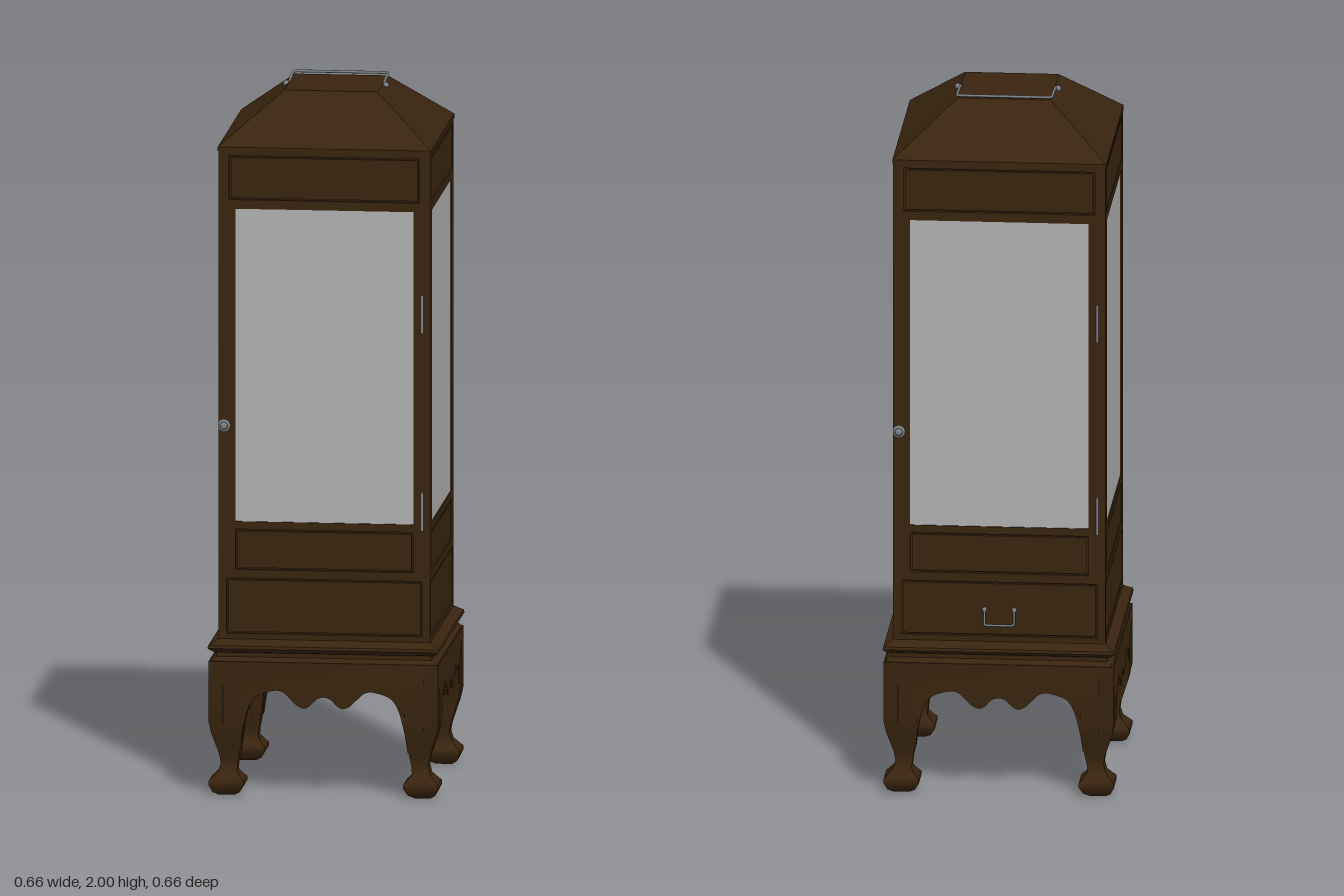
import * as THREE from 'three';
import { toCreasedNormals } from 'three/addons/utils/BufferGeometryUtils.js';

const wood = new THREE.MeshStandardMaterial({ color: 0x39240f });
wood.name = 'dark wood';
const glass = new THREE.MeshStandardMaterial({ color: 0xb0b0b0 });
glass.name = 'pale glass';
const metal = new THREE.MeshStandardMaterial({ color: 0x7c8286 });
metal.name = 'grey metal';

function add(parent, name, geometry, material, x = 0, y = 0, z = 0) {
  const mesh = new THREE.Mesh(geometry, material);
  mesh.name = name;
  mesh.position.set(x, y, z);
  parent.add(mesh);
  return mesh;
}

// Four-sided turned block; profile holds [half width, y] from bottom to top
function squareLathe(profile) {
  const pts = profile.map(([h, y]) => new THREE.Vector2(h * Math.SQRT2, y));
  const g = new THREE.LatheGeometry(pts, 4, Math.PI / 4).toNonIndexed();
  g.computeVertexNormals();
  return g;
}

// Wire bent along straight runs with rounded corners
function bentWire(points, radius, bend) {
  const p = points.map((a) => new THREE.Vector3(...a));
  const path = new THREE.CurvePath();
  let from = p[0];
  for (let i = 1; i < p.length - 1; i++) {
    const a = p[i].clone().add(p[i - 1].clone().sub(p[i]).setLength(bend));
    const b = p[i].clone().add(p[i + 1].clone().sub(p[i]).setLength(bend));
    path.add(new THREE.LineCurve3(from, a));
    path.add(new THREE.QuadraticBezierCurve3(a, p[i], b));
    from = b;
  }
  path.add(new THREE.LineCurve3(from, p[p.length - 1]));
  return new THREE.TubeGeometry(path, 64, radius, 8);
}

// Cabriole leg: square sections [y, inner edge, outer edge] set on the diagonal
function legGeometry() {
  const sections = [
    [0, 0.255, 0.3], [0.01, 0.238, 0.315], [0.03, 0.226, 0.325], [0.042, 0.226, 0.325],
    [0.052, 0.236, 0.315], [0.068, 0.248, 0.3], [0.09, 0.246, 0.294], [0.115, 0.241, 0.298],
    [0.15, 0.236, 0.309], [0.18, 0.232, 0.319], [0.21, 0.23, 0.324], [0.385, 0.23, 0.324],
  ];
  const pos = [];
  const idx = [];
  sections.forEach(([y, a, b], i) => {
    pos.push(a, y, a, a, y, b, b, y, b, b, y, a);
    if (i === 0) return;
    for (let k = 0; k < 4; k++) {
      const p = (i - 1) * 4 + k;
      const q = (i - 1) * 4 + ((k + 1) % 4);
      idx.push(p, q, q + 4, p, q + 4, p + 4);
    }
  });
  idx.push(0, 2, 1, 0, 3, 2);
  const g = new THREE.BufferGeometry();
  g.setAttribute('position', new THREE.Float32BufferAttribute(pos, 3));
  g.setIndex(idx);
  return toCreasedNormals(g, 0.9);
}

// Apron with a scalloped lower edge
function apronGeometry() {
  const half = [
    [0.236, 0.13], [0.23, 0.18], [0.221, 0.225], [0.207, 0.265], [0.185, 0.29], [0.14, 0.304],
    [0.115, 0.3], [0.095, 0.282], [0.075, 0.263], [0.055, 0.255], [0.038, 0.263], [0.02, 0.281],
  ];
  const curve = [...half, [0, 0.287], ...half.slice().reverse().map(([x, y]) => [-x, y])];
  const s = new THREE.Shape();
  s.moveTo(-0.325, 0.385);
  s.lineTo(-0.325, 0.21);
  s.quadraticCurveTo(-0.32, 0.18, -0.3, 0.13);
  s.lineTo(-0.236, 0.13);
  s.splineThru(curve.slice(0, -1).reverse().map(([x, y]) => new THREE.Vector2(x, y)));
  s.lineTo(0.3, 0.13);
  s.quadraticCurveTo(0.32, 0.18, 0.325, 0.21);
  s.lineTo(0.325, 0.385);
  // Above the knee the board is flush; below it the back follows the leg's inward sweep
  const g = new THREE.ExtrudeGeometry(s, { depth: 0.04, bevelEnabled: false, curveSegments: 8 });
  const p = g.attributes.position;
  for (let i = 0; i < p.count; i++) {
    const drop = Math.max(0, 0.21 - p.getY(i));
    p.setZ(i, p.getZ(i) - drop * 0.28);
  }
  return toCreasedNormals(g, 0.6);
}

function rectangle(PathType, w, y0, y1) {
  const s = new PathType();
  s.moveTo(-w, y0);
  s.lineTo(w, y0);
  s.lineTo(w, y1);
  s.lineTo(-w, y1);
  s.closePath();
  return s;
}

export function createModel() {
  const model = new THREE.Group();
  model.name = 'displayCabinet';

  // Body core, base moulding and hipped roof
  add(model, 'bodyCore', new THREE.BoxGeometry(0.576, 1.42, 0.576), wood, 0, 1.14, 0);
  add(model, 'baseMoulding', squareLathe([
    [0, 0.372], [0.324, 0.372], [0.324, 0.382], [0.315, 0.392], [0.305, 0.396], [0.305, 0.408],
    [0.316, 0.412], [0.328, 0.422], [0.326, 0.43], [0.312, 0.438], [0.3, 0.446], [0, 0.446],
  ]), wood);
  add(model, 'roof', squareLathe([
    [0, 1.84], [0.302, 1.84], [0.302, 1.852], [0.132, 1.988], [0, 1.988],
  ]), wood);

  // Framed faces, aprons and legs, one set for each side
  const openings = [
    ['friezePanel', 0.27, 1.702, 1.828],
    ['windowPane', 0.252, 0.782, 1.676],
    ['lowerPanel', 0.252, 0.645, 0.76],
    ['drawerFront', 0.277, 0.462, 0.62],
  ];
  const frameShape = rectangle(THREE.Shape, 0.3, 0.44, 1.85);
  for (const [, w, y0, y1] of openings) frameShape.holes.push(rectangle(THREE.Path, w, y0, y1));
  const frameGeometry = new THREE.ExtrudeGeometry(frameShape, { depth: 0.012, bevelEnabled: false });
  const apron = apronGeometry();
  const leg = legGeometry();

  for (let i = 0; i < 4; i++) {
    const side = new THREE.Group();
    side.name = ['front', 'left', 'back', 'right'][i] + 'Side';
    side.rotation.y = (i * Math.PI) / 2;
    model.add(side);
    add(side, 'frame', frameGeometry, wood, 0, 0, 0.288);
    for (const [name, w, y0, y1] of openings) {
      const pane = name === 'windowPane';
      const gap = pane ? 0 : 0.005;
      const g = new THREE.BoxGeometry((w - gap) * 2, y1 - y0 - gap * 2, pane ? 0.008 : 0.013);
      add(side, name, g, pane ? glass : wood, 0, (y0 + y1) / 2, 0.2925);
    }
    add(side, 'apron', apron, wood, 0, 0, 0.285);
    add(side, 'leg', leg, wood);

    // Doors on the front and back carry a knob and two hinges
    if (i % 2 === 0) {
      const knob = new THREE.LatheGeometry([
        [0.017, 0], [0.017, 0.003], [0.007, 0.004], [0.007, 0.006], [0.011, 0.009], [0.007, 0.012], [0, 0.013],
      ].map(([r, y]) => new THREE.Vector2(r, y)), 20).rotateX(Math.PI / 2);
      add(side, 'doorKnob', knob, metal, -0.284, 1.056, 0.299);
      for (const y of [1.385, 0.82]) {
        add(side, 'hinge', new THREE.CylinderGeometry(0.004, 0.004, 0.11, 10), metal, 0.277, y, 0.303);
      }
    }
    // Drawer pull on the back
    if (i === 2) {
      add(side, 'drawerPull', bentWire([
        [-0.042, 0.54, 0.306], [-0.042, 0.495, 0.307], [0.042, 0.495, 0.307], [0.042, 0.54, 0.306],
      ], 0.0035, 0.008), metal);
      for (const x of [-0.042, 0.042]) {
        add(side, 'pullMount', new THREE.SphereGeometry(0.007, 12, 8), metal, x, 0.54, 0.303);
      }
    }
  }

  // Folded carrying handle on the roof
  add(model, 'carryHandle', bentWire([
    [-0.134, 1.987, 0], [-0.134, 1.996, -0.132], [0.134, 1.996, -0.132], [0.134, 1.987, 0],
  ], 0.004, 0.01), metal);
  for (const x of [-0.141, 0.141]) {
    add(model, 'handlePivot', new THREE.SphereGeometry(0.009, 14, 10), metal, x, 1.984, 0);
  }
  return model;
}
